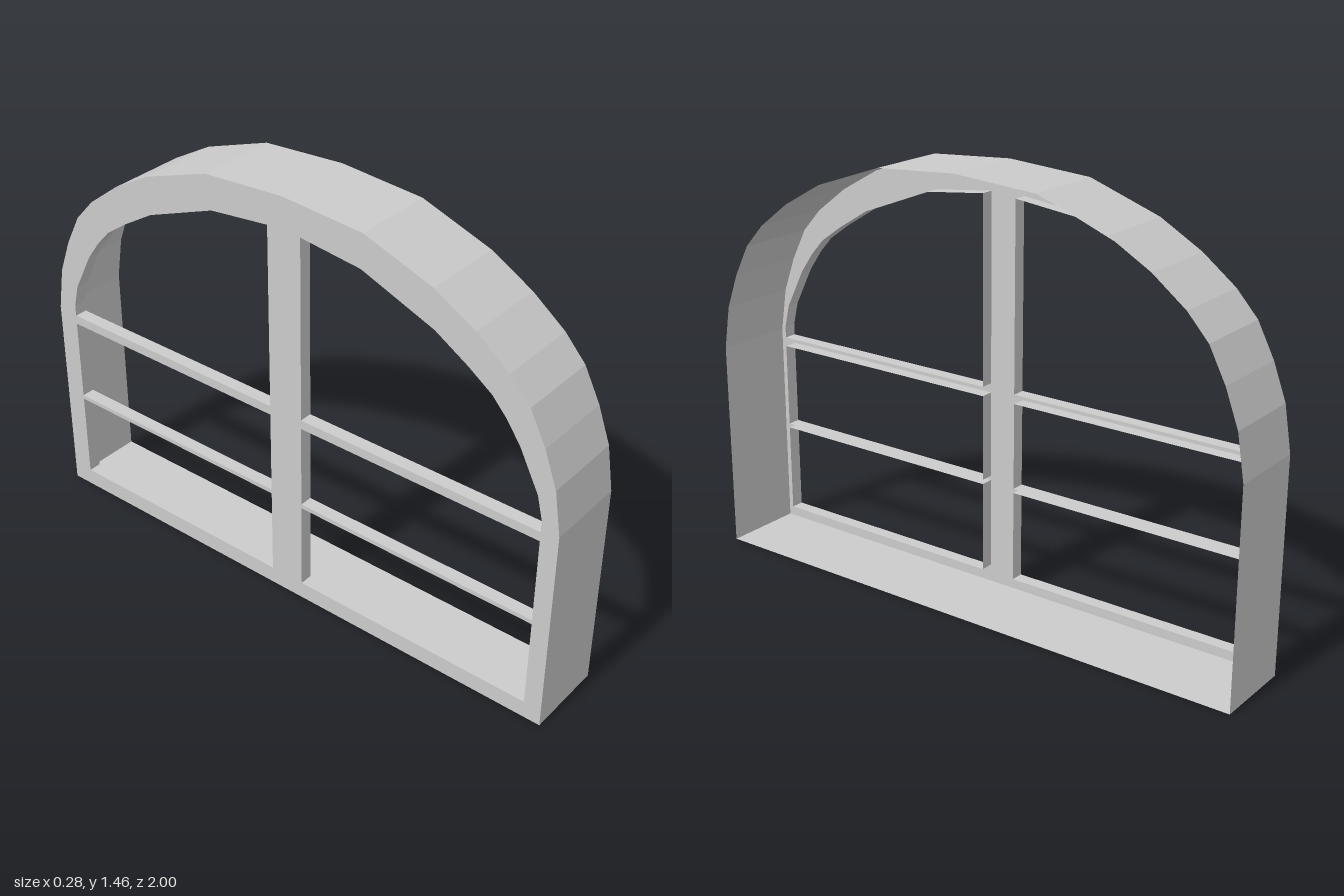
import * as THREE from 'three';

const BACK = -0.14, FRONT = 0.14, LIP = 0.045;

// Ruled band that sweeps a closed (z, y) loop along x from x0 to x1
function band(loop, x0, x1) {
  const pos = [];
  loop.forEach(([z, y], i) => {
    const [z2, y2] = loop[(i + 1) % loop.length];
    pos.push(x0, y, z, x1, y2, z2, x0, y2, z2);
    pos.push(x0, y, z, x1, y, z, x1, y2, z2);
  });
  const g = new THREE.BufferGeometry();
  g.setAttribute('position', new THREE.Float32BufferAttribute(pos, 3));
  g.computeVertexNormals();
  return g;
}

const toPoints = loop => loop.map(([z, y]) => new THREE.Vector2(z, y));

export function createModel() {
  const group = new THREE.Group();
  const material = new THREE.MeshStandardMaterial({
    color: 0xcccccc, flatShading: true, side: THREE.DoubleSide,
  });
  const add = (name, geometry) => {
    const mesh = new THREE.Mesh(geometry, material);
    mesh.name = name;
    group.add(mesh);
  };

  // Outer outline: flat sill, straight jambs and a faceted arch
  const half = [[1, 0], [1, 0.72], [0.975, 0.87], [0.93, 0.99], [0.873, 1.1],
    [0.8, 1.18], [0.685, 1.268], [0.54, 1.35], [0.295, 1.435]];
  const outline = [...half, [0, 1.455], ...half.map(([z, y]) => [-z, y]).reverse()];

  // Openings on one side of the mullion: two rectangles and an arched light
  const inner = 0.07, outer = 0.94;
  const rect = (y0, y1) => [[inner, y0], [outer, y0], [outer, y1], [inner, y1]];
  const side = [
    rect(0.06, 0.37),
    rect(0.385, 0.678),
    [[inner, 0.71], [outer, 0.71], [outer, 0.75], [0.92, 0.83], [0.85, 0.965],
      [0.8, 1.035], [0.75, 1.09], [0.668, 1.148], [0.55, 1.22], [0.29, 1.32], [inner, 1.345]],
  ];
  const mirrored = side.map(loop => loop.map(([z, y]) => [0.015 - z, y]).reverse());
  const openings = [...side, ...mirrored];

  // Deep surround, open towards +x
  add('surround', band(outline, BACK, FRONT));

  // Flat window face with mullion and glazing bars
  const shape = new THREE.Shape(toPoints(outline));
  openings.forEach(loop => shape.holes.push(new THREE.Path(toPoints(loop).reverse())));
  const face = new THREE.ShapeGeometry(shape);
  face.rotateY(-Math.PI / 2).translate(BACK, 0, 0);
  add('windowFace', face);

  // Thin lip lining each opening
  openings.forEach((loop, i) =>
    add(`openingLip${i + 1}`, band([...loop].reverse(), BACK, BACK + LIP)));

  return group;
}
